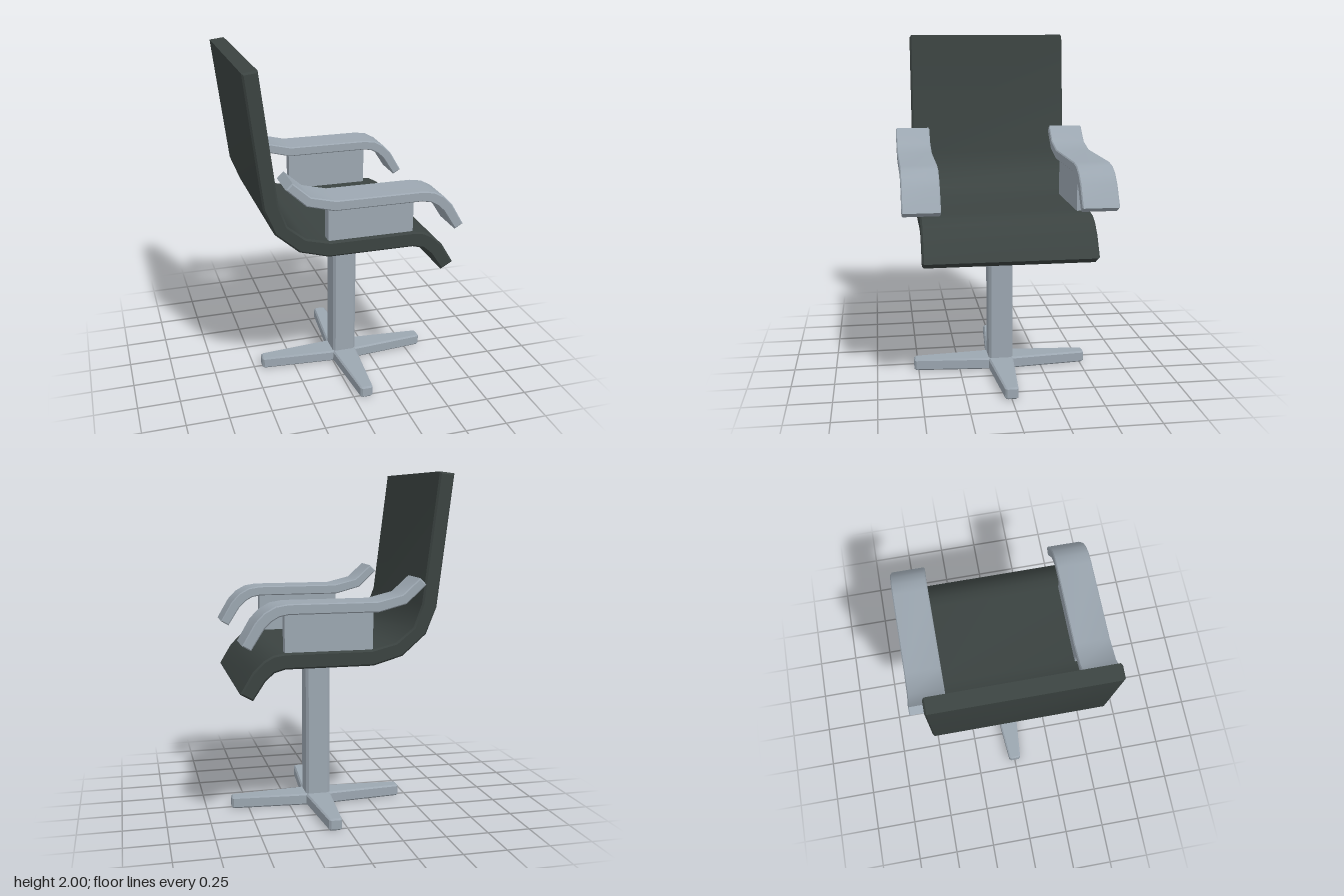
import * as THREE from 'three';
import { toCreasedNormals } from 'three/addons/utils/BufferGeometryUtils.js';

// Extrudes an outline from z = 0 to z = depth, with slim chamfered rims kept inside it
function slab(points, depth, bevel) {
  const shape = new THREE.Shape(points.map(([x, y]) => new THREE.Vector2(x, y)));
  const geometry = new THREE.ExtrudeGeometry(shape, {
    depth: depth - 2 * bevel,
    bevelEnabled: bevel > 0,
    bevelThickness: bevel,
    bevelSize: bevel,
    bevelOffset: -bevel,
    bevelSegments: 1,
  });
  geometry.translate(0, 0, bevel);
  return toCreasedNormals(geometry, 0.62);
}

export function createModel() {
  const group = new THREE.Group();
  const upholstery = new THREE.MeshStandardMaterial({ color: 0x3b4341 });
  upholstery.name = 'dark upholstery';
  const metal = new THREE.MeshStandardMaterial({ color: 0x9ca7b1 });
  metal.name = 'grey metal';

  const add = (name, geometry, material, x = 0, y = 0, z = 0) => {
    const mesh = new THREE.Mesh(geometry, material);
    mesh.name = name;
    mesh.position.set(x, y, z);
    group.add(mesh);
    return mesh;
  };

  // Seat and backrest: one bent shell, facing +x
  const shell = [
    [-0.605, 1.99], [-0.515, 1.25], [-0.455, 1.1], [-0.318, 0.98], [-0.15, 0.932],
    [0.35, 0.932], [0.41, 0.915], [0.46, 0.87], [0.53, 0.765],
    [0.6, 0.805], [0.53, 0.922], [0.47, 0.982], [0.415, 1.012], [0.35, 1.022],
    [-0.14, 1.022], [-0.28, 1.057], [-0.382, 1.14], [-0.43, 1.27], [-0.52, 2.0],
  ];
  add('seatAndBackrest', slab(shell, 0.98, 0.01), upholstery, 0, 0, -0.49);

  // Armrests on plate supports
  const arm = [
    [-0.415, 1.39], [-0.305, 1.287], [-0.15, 1.246], [0.35, 1.246], [0.4, 1.236],
    [0.44, 1.213], [0.48, 1.175], [0.553, 1.06],
    [0.6, 1.088], [0.53, 1.208], [0.48, 1.26], [0.42, 1.293], [0.35, 1.304],
    [-0.14, 1.304], [-0.28, 1.338], [-0.378, 1.426],
  ];
  const armGeometry = slab(arm, 0.21, 0.006);
  const supportGeometry = new THREE.BoxGeometry(0.5, 0.26, 0.06);
  for (const [side, s] of [['front', 1], ['back', -1]]) {
    add(side + 'Armrest', armGeometry, metal, 0, 0, s * 0.49 - 0.105);
    add(side + 'ArmSupport', supportGeometry, metal, 0.1, 1.135, s * 0.44);
  }

  // Pedestal: square column with chamfered corners
  const h = 0.073, c = 0.058;
  const column = [[h, -c], [h, c], [c, h], [-c, h], [-h, c], [-h, -c], [-c, -h], [c, -h]];
  add('pedestal', slab(column, 0.92, 0), metal, 0.075, 0.03, 0).rotation.x = -Math.PI / 2;

  // Four-armed base with tapering legs
  const star = [];
  for (let i = 0; i < 4; i++) {
    const cos = Math.round(Math.cos(i * Math.PI / 2)), sin = Math.round(Math.sin(i * Math.PI / 2));
    for (const [x, y] of [[0.075, -0.075], [0.515, -0.038], [0.526, -0.026], [0.526, 0.026], [0.515, 0.038]])
      star.push([x * cos - y * sin, x * sin + y * cos]);
  }
  add('starBase', slab(star, 0.07, 0.009), metal, 0.075, 0, 0).rotation.x = -Math.PI / 2;

  return group;
}
